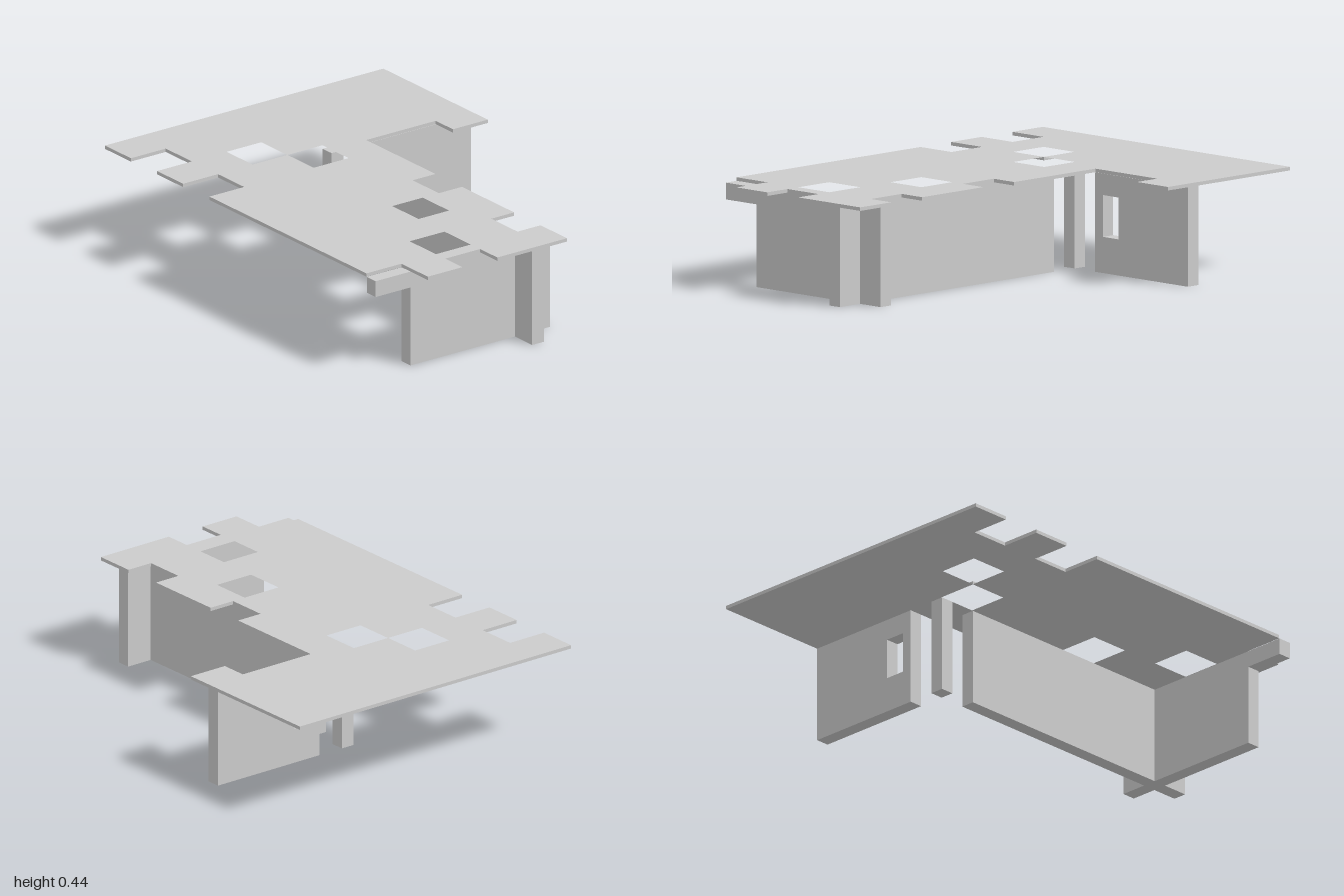
import * as THREE from 'three';

const H = 0.421;   // wall height, underside of the roof
const TOP = 0.436; // top of the roof

export function createModel() {
  const group = new THREE.Group();
  const material = new THREE.MeshStandardMaterial({ color: 0xcccccc, flatShading: true });

  const add = (name, geometry) => {
    const mesh = new THREE.Mesh(geometry, material);
    mesh.name = name;
    group.add(mesh);
    return mesh;
  };

  // Box given by its limits on each axis
  const block = (name, x0, x1, y0, y1, z0, z1) =>
    add(name, new THREE.BoxGeometry(x1 - x0, y1 - y0, z1 - z0)
      .translate((x0 + x1) / 2, (y0 + y1) / 2, (z0 + z1) / 2));

  const polygon = (points) => points.map(([x, y]) => new THREE.Vector2(x, y));
  const rect = (x0, x1, y0, y1) => new THREE.Path(polygon([[x0, y0], [x0, y1], [x1, y1], [x1, y0]]));

  // Flat roof: notched outline as (x, z), with four square openings
  const outline = [
    [-0.727, -1], [0.727, -1], [0.727, -0.275], [0.545, -0.275], [0.545, -0.395], [0.182, -0.395],
    [0.182, 0.087], [0.062, 0.087], [0.062, 0.27], [0.182, 0.27], [0.182, 0.633], [0.062, 0.633],
    [0.062, 0.816], [0.182, 0.816], [0.182, 1], [-0.182, 1], [-0.182, 0.88], [-0.364, 0.88],
    [-0.364, 1], [-0.545, 1], [-0.545, 0.816], [-0.727, 0.816], [-0.727, -0.275], [-0.545, -0.275],
    [-0.545, -0.457], [-0.727, -0.457], [-0.727, -0.638], [-0.545, -0.638], [-0.545, -0.82], [-0.727, -0.82],
  ];
  const roof = new THREE.Shape(polygon(outline.map(([x, z]) => [x, -z])));
  const openings = [
    [-0.364, -0.183, -0.638, -0.458], [-0.182, 0, -0.457, -0.275],
    [-0.182, 0, 0.27, 0.453], [-0.364, -0.182, 0.633, 0.816],
  ];
  for (const [x0, x1, z0, z1] of openings) roof.holes.push(rect(x0, x1, -z1, -z0));
  add('roof', new THREE.ExtrudeGeometry(roof, { depth: TOP - H, bevelEnabled: false }))
    .rotation.x = -Math.PI / 2;
  group.getObjectByName('roof').position.y = H;

  // Long wall along z, crossed near the front by the front wall
  block('longWall', 0, 0.062, 0, H, -0.27, 1);
  block('frontWall', -0.545, 0, 0, H, 0.818, 0.88);
  block('frontWallStub', 0.062, 0.182, 0, H, 0.818, 0.88);
  block('lintel', -0.727, -0.545, 0.35, H, 0.818, 0.88);

  // Post in line with the rear wall
  block('post', 0, 0.062, 0, H, -0.455, -0.393);

  // Rear wall with a window
  const wall = new THREE.Shape(polygon([[0.182, 0], [0.727, 0], [0.727, H], [0.182, H]]));
  wall.holes.push(rect(0.227, 0.32, 0.153, 0.33));
  add('windowWall', new THREE.ExtrudeGeometry(wall, { depth: 0.062, bevelEnabled: false }))
    .position.z = -0.455;

  return group;
}
